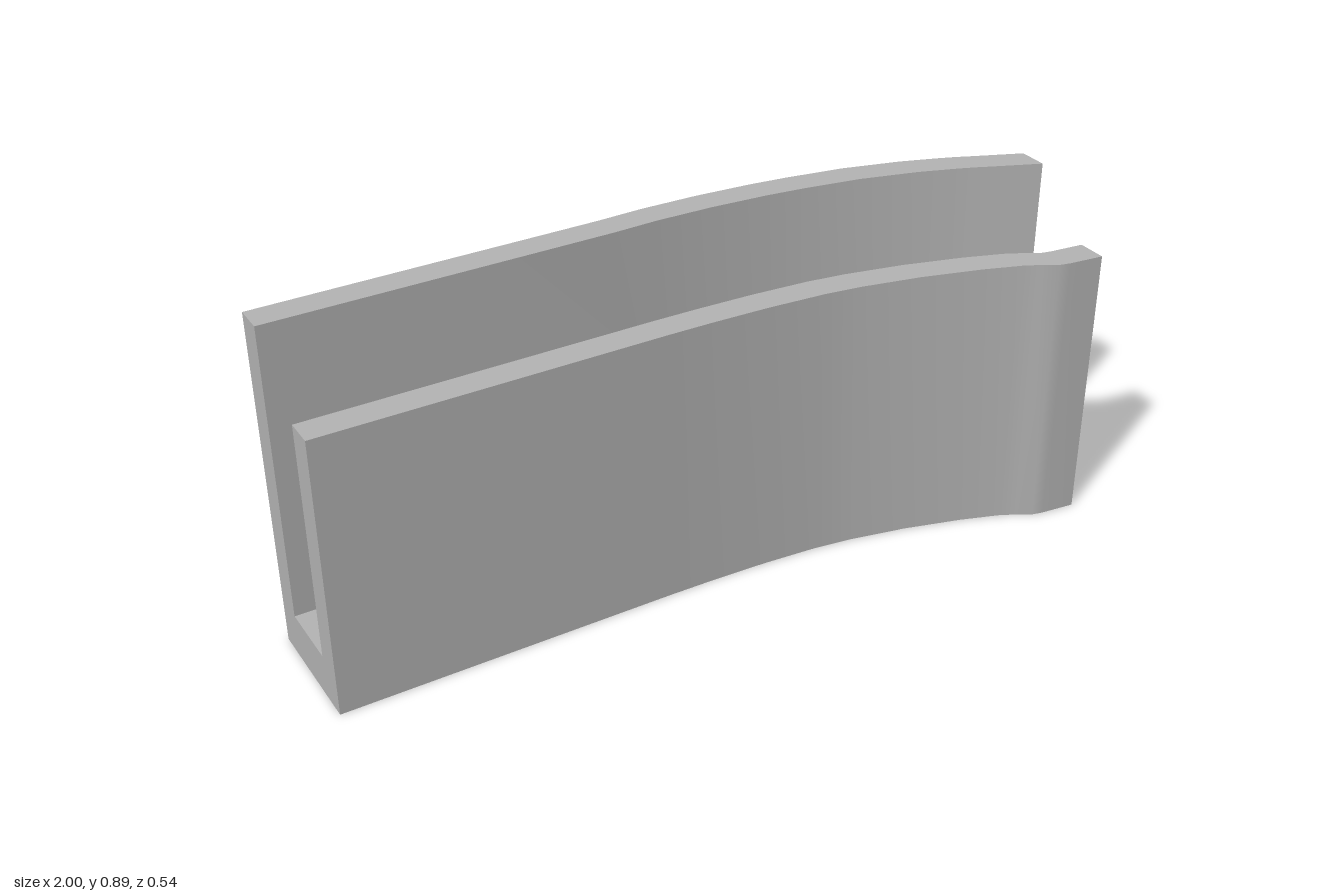
import * as THREE from 'three';

// Plan stations: x, z of the back outer face, z of the front outer face
const STATIONS = [
  [-1, -0.267, 0.06], [-0.12, -0.268, 0.06], [0, -0.272, 0.062], [0.15, -0.268, 0.068],
  [0.3, -0.256, 0.08], [0.4, -0.243, 0.095], [0.55, -0.217, 0.128], [0.7, -0.176, 0.172],
  [0.8, -0.14, 0.208], [0.84, -0.124, 0.228], [0.88, -0.106, 0.252], [0.91, -0.093, 0.259],
  [1, -0.054, 0.27],
];
const WALL = 0.076, FLOOR = 0.118, FRONT_TOP = 0.74, BACK_TOP = 0.895;

// U-shaped cross-section at one station, as [y, z] corners
function section([, back, front]) {
  return [
    [0, front], [0, back], [BACK_TOP, back], [BACK_TOP, back + WALL],
    [FLOOR, back + WALL], [FLOOR, front - WALL], [FRONT_TOP, front - WALL], [FRONT_TOP, front],
  ];
}

function channelGeometry() {
  const positions = [], index = [];
  const rings = STATIONS.map(section);
  const sides = rings[0].length;

  // Each long face is its own strip: smooth along the bend, sharp at the corners
  for (let s = 0; s < sides; s++) {
    const base = positions.length / 3;
    rings.forEach((ring, i) => {
      for (const [y, z] of [ring[s], ring[(s + 1) % sides]]) positions.push(STATIONS[i][0], y, z);
      if (i === 0) return;
      const a = base + (i - 1) * 2, b = a + 1, d = a + 2, c = a + 3;
      index.push(a, b, c, a, c, d);
    });
  }

  // Flat U-shaped ends
  for (const end of [0, rings.length - 1]) {
    const base = positions.length / 3;
    const outline = rings[end].map(([y, z]) => new THREE.Vector2(y, z));
    for (const p of outline) positions.push(STATIONS[end][0], p.x, p.y);
    for (const [a, b, c] of THREE.ShapeUtils.triangulateShape(outline, [])) {
      if (end === 0) index.push(base + a, base + c, base + b);
      else index.push(base + a, base + b, base + c);
    }
  }

  const geometry = new THREE.BufferGeometry();
  geometry.setAttribute('position', new THREE.Float32BufferAttribute(positions, 3));
  geometry.setIndex(index);
  geometry.computeVertexNormals();
  return geometry;
}

export function createModel() {
  const group = new THREE.Group();
  group.name = 'curvedChannel';
  const grey = new THREE.MeshStandardMaterial({ color: 0xb4b4b4 });
  grey.name = 'light grey';
  const channel = new THREE.Mesh(channelGeometry(), grey);
  channel.name = 'channelBody';
  group.add(channel);
  return group;
}
